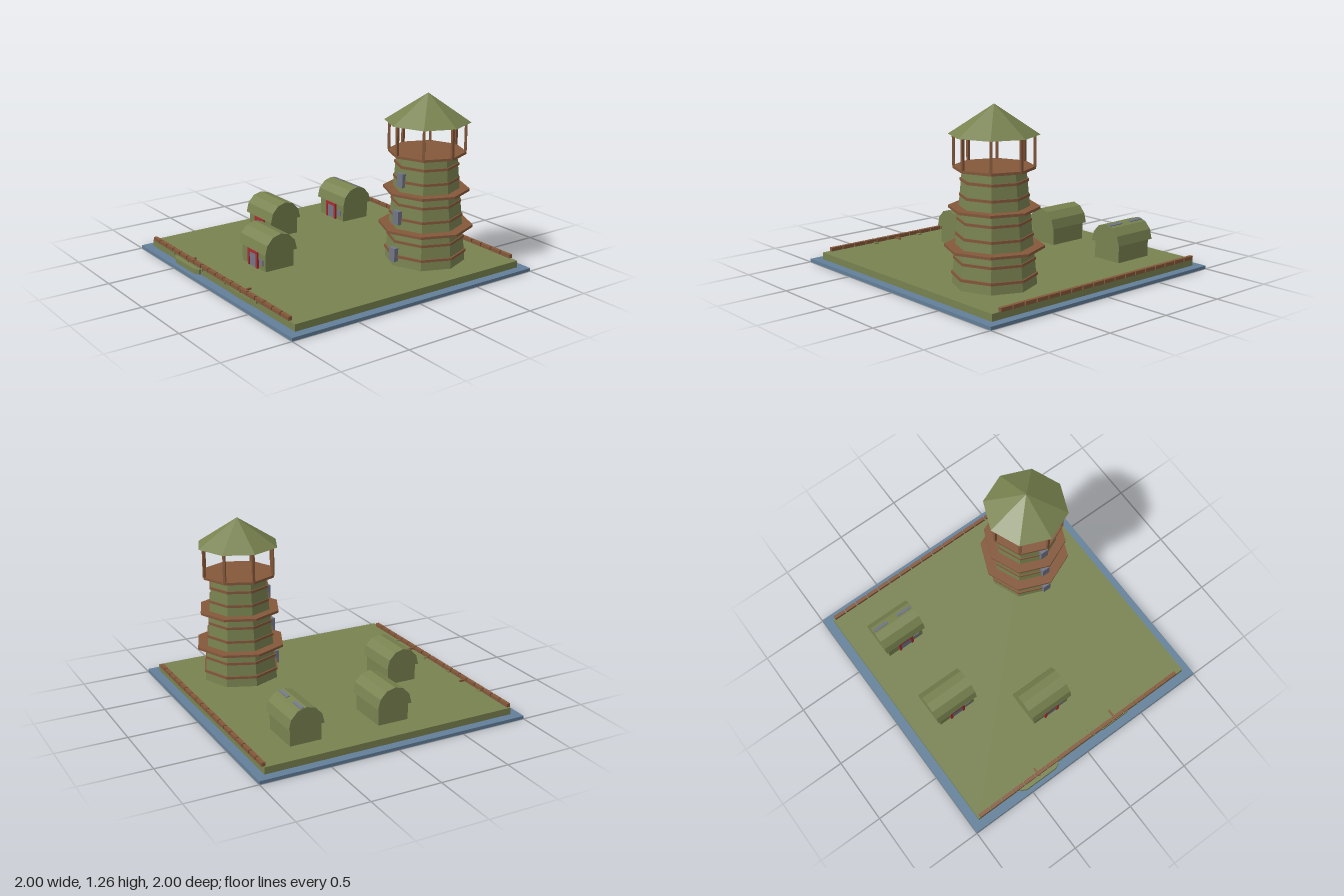
import * as THREE from 'three';

const mat = (name, color, side = THREE.FrontSide) => {
  const m = new THREE.MeshStandardMaterial({ color, flatShading: true, side });
  m.name = name;
  return m;
};

export function createModel() {
  const green = mat('olive green', 0x78824f);
  const brown = mat('wood brown', 0x84583b);
  const blue = mat('water blue', 0x627f99);
  const grey = mat('slate grey', 0x717685);
  const red = mat('door red', 0xa92b31);

  const model = new THREE.Group();
  model.name = 'village';

  const add = (parent, name, geometry, material, x = 0, y = 0, z = 0) => {
    const mesh = new THREE.Mesh(geometry, material);
    mesh.name = name;
    mesh.position.set(x, y, z);
    parent.add(mesh);
    return mesh;
  };
  // Box given by its lower and upper limits on each axis
  const box = (parent, name, material, x0, x1, y0, y1, z0, z1) =>
    add(parent, name, new THREE.BoxGeometry(x1 - x0, y1 - y0, z1 - z0), material,
      (x0 + x1) / 2, (y0 + y1) / 2, (z0 + z1) / 2);
  const group = (name, x, y, z) => {
    const g = new THREE.Group();
    g.name = name;
    g.position.set(x, y, z);
    model.add(g);
    return g;
  };

  // Water sheet and raised ground
  box(model, 'water', blue, -1, 1, 0, 0.023, -1, 1);
  box(model, 'ground', green, -0.935, 0.935, 0.023, 0.072, -0.935, 0.935);

  // Rows of fence planks along the front and back edges
  for (const [name, z] of [['frontFence', 0.926], ['backFence', -0.934]]) {
    const fence = group(name, 0, 0, z);
    for (let i = 0; i < 18; i++) {
      const x = -0.875 + i * 0.1;
      box(fence, 'plank', brown, x - 0.045, x + 0.045, 0.072, 0.098, -0.013, 0.013);
    }
  }

  // Landings on the front bank, with small posts and a thin pole
  const landing = (x, half, front, back) => {
    const g = group('landing', x, 0, 0);
    const s = new THREE.Shape();
    s.moveTo(-half, -0.9);
    s.lineTo(half, -0.9);
    s.lineTo(half, -front + 0.02);
    s.lineTo(half - 0.04, -front);
    s.lineTo(-half + 0.04, -front);
    s.lineTo(-half, -front + 0.02);
    const slab = new THREE.ExtrudeGeometry(s, { depth: 0.036, bevelEnabled: false });
    slab.rotateX(-Math.PI / 2);
    add(g, 'landingSlab', slab, green, 0, 0.025, 0);
    box(g, 'pole', brown, -0.006, 0.006, 0.07, 0.085, back, 0.945);
    for (const side of [-1, 1]) {
      const px = side * 0.2;
      box(g, 'bracket', green, px - 0.006, px + 0.006, 0.06, 0.08, back + 0.02, 0.945);
      box(g, 'bracketArm', green, px - 0.02, px + 0.02, 0.06, 0.078, back + 0.02, back + 0.03);
    }
  };
  landing(-0.4, 0.17, 0.968, 0.875);
  landing(0.3, 0.155, 0.942, 0.858);

  // Houses with a faceted barrel roof
  const roofShape = new THREE.Shape();
  for (let i = 0; i <= 6; i++) {
    const a = (i * Math.PI) / 6;
    roofShape[i ? 'lineTo' : 'moveTo'](Math.cos(a) * 0.129, Math.sin(a) * 0.137);
  }
  const roofGeometry = new THREE.ExtrudeGeometry(roofShape, { depth: 0.34, bevelEnabled: false });
  roofGeometry.translate(0, 0, -0.17).rotateY(Math.PI / 2);

  const house = (x, z) => {
    const h = group('house', x, 0, z);
    box(h, 'walls', green, -0.15, 0.15, 0.07, 0.2, -0.112, 0.115);
    add(h, 'roof', roofGeometry, green, 0, 0.197, 0);
    for (const s of [-1, 1]) {
      box(h, 'doorJamb', red, s < 0 ? -0.062 : 0.042, s < 0 ? -0.044 : 0.062, 0.072, 0.195, 0.11, 0.128);
    }
    box(h, 'doorLintel', red, -0.044, 0.042, 0.172, 0.195, 0.11, 0.128);
    box(h, 'door', grey, -0.044, 0.042, 0.072, 0.172, 0.11, 0.122);
    box(h, 'window', grey, 0.072, 0.12, 0.105, 0.15, 0.11, 0.12);
    return h;
  };
  house(-0.05, 0.5);
  house(-0.605, 0.098);
  const backHouse = house(-0.605, -0.558);
  // Slits in the back slope of the rear house
  for (const x of [-0.104, 0.1]) {
    const slit = add(backHouse, 'roofSlit', new THREE.BoxGeometry(0.122, 0.006, 0.024), grey, x, 0.328, -0.028);
    slit.rotation.x = -0.276;
  }

  // Octagonal watchtower, corners on the axes
  const tower = group('tower', 0.5, 0, -0.454);
  const octagon = (name, material, rTop, rBottom, y0, y1) =>
    add(tower, name, new THREE.CylinderGeometry(rTop, rBottom, y1 - y0, 8), material, 0, (y0 + y1) / 2, 0);
  octagon('towerWall', green, 0.208, 0.281, 0.07, 0.845);
  const rings = [
    [0.143, 0.286], [0.245, 0.272], [0.325, 0.33], [0.406, 0.257], [0.505, 0.245],
    [0.585, 0.3], [0.666, 0.23], [0.767, 0.225], [0.847, 0.27],
  ];
  rings.forEach(([y, r], i) =>
    octagon(i === 8 ? 'lookoutFloor' : 'ring', brown, r, r, y - 0.009, y + 0.009));

  // Windows on the front corner
  [[0.155, 0.284], [0.416, 0.256], [0.677, 0.225]].forEach(([y, z]) =>
    box(tower, 'towerWindow', grey, -0.03, 0.03, y - 0.048, y + 0.048, z - 0.022, z + 0.012));

  // Lookout posts and roof
  for (let i = 0; i < 8; i++) {
    const a = (i * Math.PI) / 4;
    const post = add(tower, 'post', new THREE.BoxGeometry(0.018, 0.21, 0.018), brown,
      Math.sin(a) * 0.262, 0.958, Math.cos(a) * 0.262);
    post.rotation.y = a;
  }
  add(tower, 'towerRoof', new THREE.ConeGeometry(0.298, 0.197, 8), green, 0, 1.1595, 0);

  return model;
}
